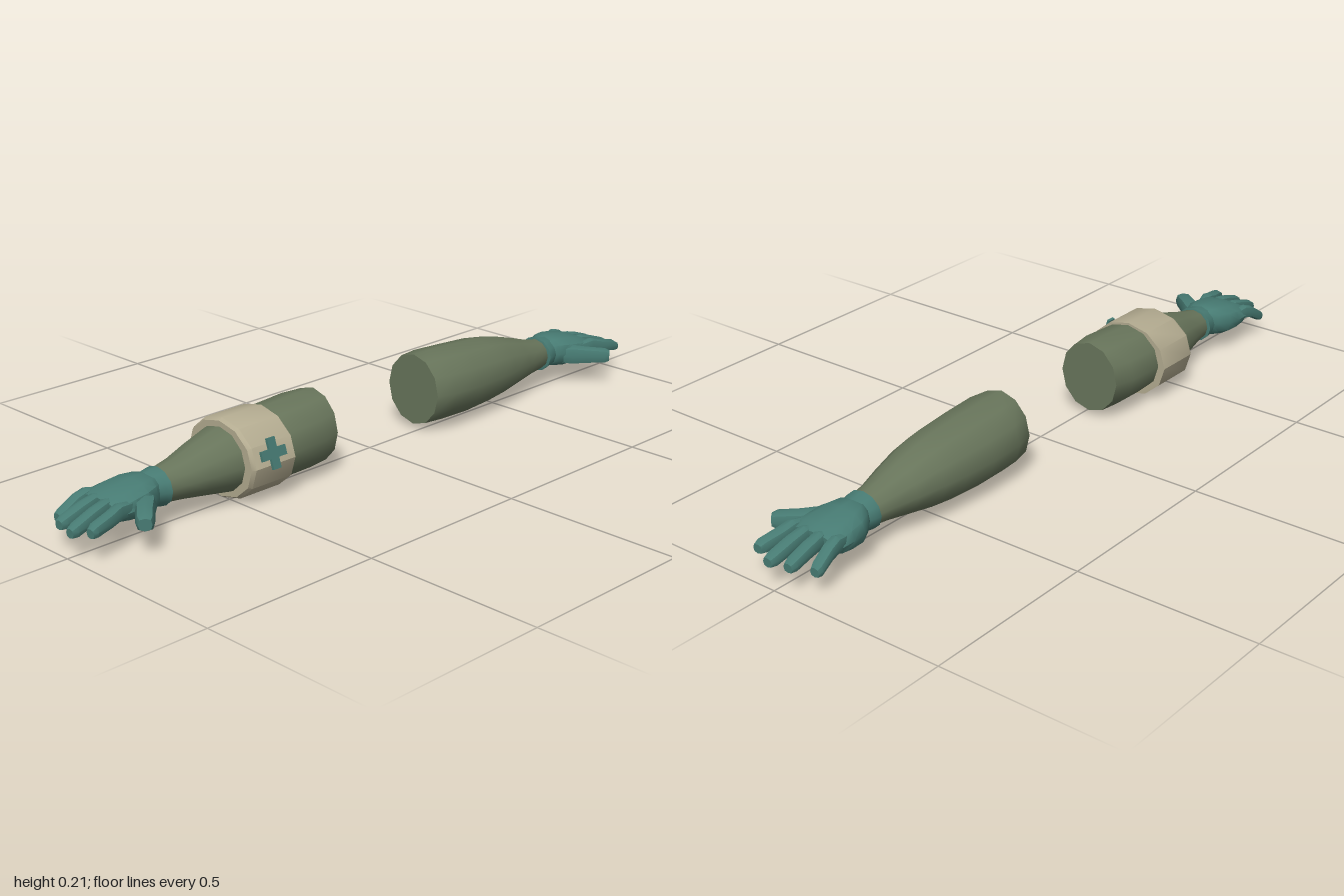
import * as THREE from 'three';
import { toCreasedNormals } from 'three/addons/utils/BufferGeometryUtils.js';

// Loft along z through rings [z, centreX, centreY, radiusX, radiusY];
// power < 1 squares off the ring, caps close both ends.
function loft(rings, sides = 12, power = 1, caps = true) {
  const pos = [], idx = [];
  const bend = v => Math.sign(v) * Math.abs(v) ** power;
  for (const [z, cx, cy, rx, ry] of rings) {
    for (let j = 0; j < sides; j++) {
      const a = (j / sides) * Math.PI * 2;
      pos.push(cx + rx * bend(Math.cos(a)), cy + ry * bend(Math.sin(a)), z);
    }
  }
  for (let i = 0; i < rings.length - 1; i++) {
    for (let j = 0; j < sides; j++) {
      const k = (j + 1) % sides;
      const a = i * sides + j, b = i * sides + k;
      idx.push(a, b, b + sides, a, b + sides, a + sides);
    }
  }
  if (caps) {
    const last = (rings.length - 1) * sides;
    for (let j = 1; j < sides - 1; j++) {
      idx.push(0, j + 1, j, last, last + j, last + j + 1);
    }
  }
  const geo = new THREE.BufferGeometry();
  geo.setAttribute('position', new THREE.Float32BufferAttribute(pos, 3));
  geo.setIndex(idx);
  return geo;
}

// Mirror a geometry front to back, keeping its faces outward
function mirrorZ(geo) {
  geo.scale(1, 1, -1);
  const ix = geo.index.array;
  for (let i = 0; i < ix.length; i += 3) [ix[i], ix[i + 1]] = [ix[i + 1], ix[i]];
  return geo;
}

export function createModel() {
  const model = new THREE.Group();
  model.name = 'armPair';
  const mat = (name, color) => {
    const m = new THREE.MeshStandardMaterial({ color });
    m.name = name;
    return m;
  };
  const sleeveGreen = mat('sleeveGreen', 0x68755b);
  const gloveTeal = mat('gloveTeal', 0x477b73);
  const bandCream = mat('bandCream', 0xb3ab90);

  function buildArm(name, back) {
    const arm = new THREE.Group();
    arm.name = name;
    const add = (part, geo, material, crease = 0.75) => {
      const mesh = new THREE.Mesh(toCreasedNormals(back ? mirrorZ(geo) : geo, crease), material);
      mesh.name = part;
      arm.add(mesh);
    };

    // Tapering forearm sleeve
    add('sleeve', loft([
      [0.19, -0.02, 0.116, 0.092, 0.101],
      [0.25, -0.019, 0.116, 0.109, 0.101],
      [0.35, -0.019, 0.112, 0.108, 0.099],
      [0.45, -0.02, 0.111, 0.102, 0.093],
      [0.52, -0.02, 0.109, 0.092, 0.084],
      [0.6, -0.019, 0.104, 0.074, 0.066],
      [0.66, -0.018, 0.099, 0.058, 0.052],
      [0.72, -0.018, 0.096, 0.047, 0.043],
    ]), sleeveGreen);

    // Flared glove cuff
    add('cuff', loft([
      [0.709, -0.018, 0.096, 0.05, 0.043],
      [0.711, -0.018, 0.096, 0.058, 0.05],
      [0.727, -0.018, 0.096, 0.055, 0.048],
      [0.752, -0.018, 0.096, 0.049, 0.043],
    ]), gloveTeal, 0.6);

    // Palm
    add('palm', loft([
      [0.74, -0.018, 0.096, 0.047, 0.041],
      [0.757, -0.019, 0.097, 0.06, 0.044],
      [0.79, -0.021, 0.094, 0.076, 0.046],
      [0.83, -0.021, 0.092, 0.08, 0.041],
      [0.865, -0.02, 0.092, 0.081, 0.034],
      [0.888, -0.019, 0.092, 0.075, 0.023],
    ], 12, 0.8), gloveTeal);

    // Four fingers: base x, tip x, tip y, tip z
    const fingers = [
      ['littleFinger', -0.081, -0.092, 0.064, 0.957],
      ['ringFinger', -0.04, -0.04, 0.072, 0.99],
      ['middleFinger', 0.001, 0.016, 0.071, 1],
      ['indexFinger', 0.041, 0.068, 0.08, 0.98],
    ];
    for (const [part, x0, x1, y1, z1] of fingers) {
      const rings = [
        [0, 0.096, 0.014, 0.018], [0.3, 0.1, 0.018, 0.021], [0.55, 0.092, 0.019, 0.019],
        [0.9, y1 + 0.004, 0.0185, 0.017], [1, y1, 0.014, 0.012],
      ].map(([t, y, rx, ry]) => [0.84 + (z1 - 0.84) * t, x0 + (x1 - x0) * t, y, rx, ry]);
      add(part, loft(rings, 8, 0.75), gloveTeal);
    }

    // Thumb, splayed towards +x
    const thumb = loft([
      [0, 0, 0, 0.022, 0.024], [0.05, 0, 0, 0.029, 0.029], [0.09, 0, 0, 0.024, 0.025],
      [0.145, 0, 0, 0.023, 0.022], [0.158, 0, 0, 0.017, 0.016],
    ], 8, 0.75);
    thumb.rotateY(0.9).translate(0.008, 0.088, 0.772);
    add('thumb', thumb, gloveTeal);
    model.add(arm);
    return arm;
  }

  const frontArm = buildArm('frontArm', false);
  buildArm('backArm', true);

  // Armband: a hollow ring around the front sleeve
  const cx = -0.021, cy = 0.109;
  const band = new THREE.Mesh(toCreasedNormals(loft([
    [0.37, cx, cy, 0.098, 0.088],
    [0.37, cx, cy, 0.126, 0.107],
    [0.5, cx, cy, 0.126, 0.107],
    [0.51, cx, cy, 0.119, 0.101],
    [0.51, cx, cy, 0.092, 0.082],
  ], 12, 1, false), 0.6), bandCream);
  band.name = 'armband';
  frontArm.add(band);

  // Plain cross plate on the outer side of the band
  const a = 0.0125, b = 0.04;
  const cross = new THREE.Shape([
    [a, a], [a, b], [-a, b], [-a, a], [-b, a], [-b, -a],
    [-a, -a], [-a, -b], [a, -b], [a, -a], [b, -a], [b, a],
  ].map(([x, y]) => new THREE.Vector2(x, y)));
  const crossGeo = new THREE.ExtrudeGeometry(cross, { depth: 0.008, bevelEnabled: false });
  crossGeo.rotateY(Math.PI / 2).rotateZ(0.31).translate(0.0965, 0.136, 0.44);
  const plate = new THREE.Mesh(crossGeo, gloveTeal);
  plate.name = 'crossPlate';
  frontArm.add(plate);

  return model;
}
